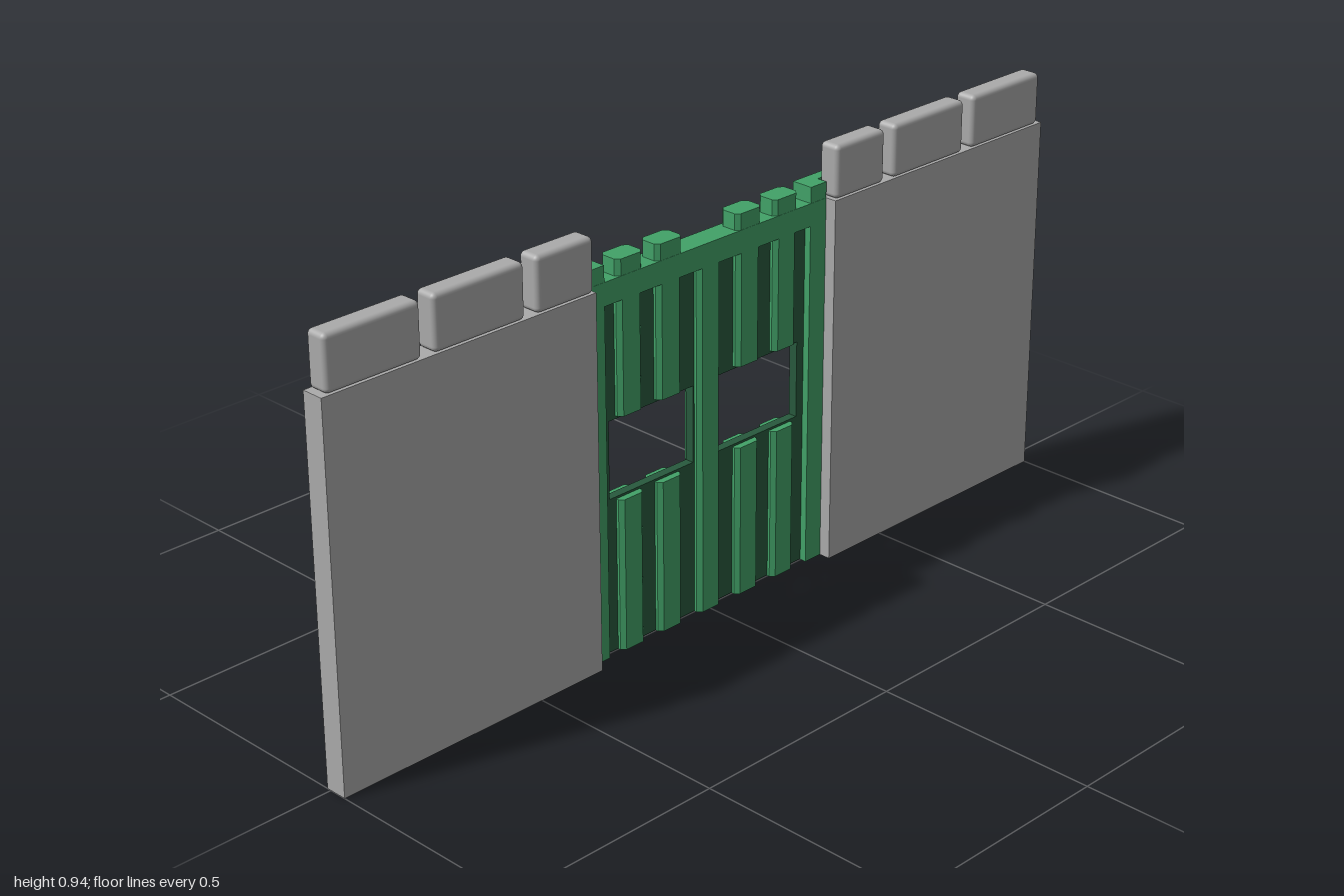
import * as THREE from 'three';
import { RoundedBoxGeometry } from 'three/addons/geometries/RoundedBoxGeometry.js';

const material = (name, color) => {
  const m = new THREE.MeshStandardMaterial({ color });
  m.name = name;
  return m;
};

export function createModel() {
  const group = new THREE.Group();
  const stone = material('grey stone', 0xaaaaaa);
  const green = material('green paint', 0x42a268);
  const shade = material('dark green', 0x28593d);

  const add = (name, geometry, mat) => {
    const mesh = new THREE.Mesh(geometry, mat);
    mesh.name = name;
    group.add(mesh);
    return mesh;
  };
  const box = (name, x0, x1, y0, y1, z0, z1, mat) =>
    add(name, new THREE.BoxGeometry(x1 - x0, y1 - y0, z1 - z0), mat)
      .position.set((x0 + x1) / 2, (y0 + y1) / 2, (z0 + z1) / 2);

  // Upright board with chamfered corners, outlined in x and z
  const BACK = -0.036, FRONT = 0.014;
  const plank = (name, x0, x1, y0, y1) => {
    const c = 0.009;
    const shape = new THREE.Shape([
      [x0 + c, -FRONT], [x1 - c, -FRONT], [x1, -FRONT + c], [x1, -BACK - c],
      [x1 - c, -BACK], [x0 + c, -BACK], [x0, -BACK - c], [x0, -FRONT + c],
    ].map(([x, y]) => new THREE.Vector2(x, y)));
    const geo = new THREE.ExtrudeGeometry(shape, { depth: y1 - y0, bevelEnabled: false });
    geo.rotateX(-Math.PI / 2);
    add(name, geo, green).position.y = y0;
  };

  // Recessed core panel with two window openings
  const core = new THREE.Shape([
    new THREE.Vector2(-0.3, 0.001), new THREE.Vector2(0.3, 0.001),
    new THREE.Vector2(0.3, 0.78), new THREE.Vector2(-0.3, 0.78),
  ]);
  for (const [a, b] of [[-0.27, -0.036], [0.036, 0.27]]) {
    core.holes.push(new THREE.Path([
      new THREE.Vector2(a, 0.345), new THREE.Vector2(a, 0.515),
      new THREE.Vector2(b, 0.515), new THREE.Vector2(b, 0.345),
    ]));
  }
  const coreGeo = new THREE.ExtrudeGeometry(core, { depth: 0.02, bevelEnabled: false });
  add('corePanel', coreGeo, shade).position.z = -0.021;

  // Centre post and cross rail
  plank('centrePost', -0.032, 0.032, 0, 0.8);
  box('crossRail', -0.335, 0.335, 0.77, 0.82, -0.039, 0.0145, green);

  for (const s of [-1, 1]) {
    const span = (a, b) => (s > 0 ? [a, b] : [-b, -a]);

    // Boards above and below the window, with teeth on the rail
    for (const [a, b] of [[0.079, 0.145], [0.187, 0.252]]) {
      const [x0, x1] = span(a, b);
      plank('lowerBoard', x0, x1, 0, 0.34);
      plank('upperBoard', x0, x1, 0.522, 0.775);
      plank('tooth', x0 - 0.003, x1 + 0.003, 0.815, 0.855);
    }

    // Side post, with a wide wing behind the wall
    box('sidePost', ...span(0.29, 0.336), 0, 0.855, -0.012, 0.014, green);
    box('sideWing', ...span(0.29, 0.482), 0, 0.855, BACK, -0.0105, green);

    // Wall and its rounded capstones
    box('wall', ...span(0.336, 1), 0, 0.82, -0.01, 0.04, stone);
    for (const [a, b] of [[0.34, 0.486], [0.515, 0.737], [0.766, 0.988]]) {
      const geo = new RoundedBoxGeometry(b - a, 0.116, 0.05, 3, 0.011);
      add('capstone', geo, stone).position.set(s * (a + b) / 2, 0.878, 0.015);
    }
  }
  return group;
}
